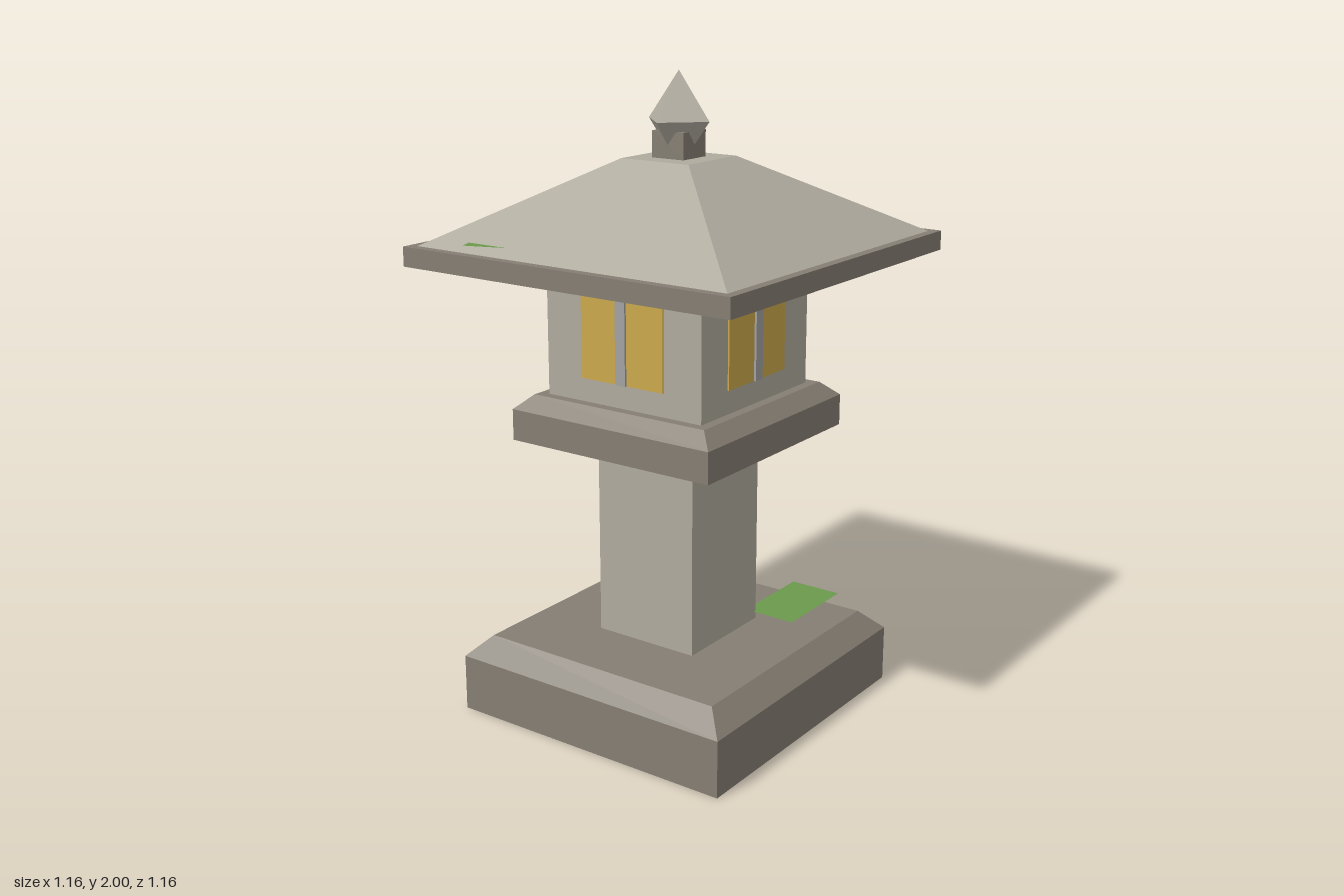
import * as THREE from 'three';

const material = (name, color, side = THREE.FrontSide) => {
  const m = new THREE.MeshStandardMaterial({ color, side });
  m.name = name;
  return m;
};

export function createModel() {
  const lantern = new THREE.Group();
  lantern.name = 'stoneLantern';

  const lightStone = material('light stone', 0xb0ab9e);
  const darkStone = material('dark stone', 0x857e73, THREE.DoubleSide);
  const paper = material('window yellow', 0xcaa84c);
  const barGrey = material('bar grey', 0xa2a2a2);
  const moss = material('moss green', 0x6a9a4c, THREE.DoubleSide);

  const add = (name, geometry, mat, parent = lantern) => {
    const mesh = new THREE.Mesh(geometry, mat);
    mesh.name = name;
    parent.add(mesh);
    return mesh;
  };

  // Square stone block from a profile of [half width, height], bottom to top
  const block = (name, mat, profile) => {
    const points = profile.map(([w, y]) => new THREE.Vector2(w * Math.SQRT2, y));
    const geometry = new THREE.LatheGeometry(points, 4, Math.PI / 4).toNonIndexed();
    geometry.computeVertexNormals();
    return add(name, geometry, mat);
  };

  // Base is hollow underneath
  block('base', darkStone, [[0.485, 0], [0.485, 0.18], [0.42, 0.245], [0, 0.245]]);
  block('pillar', lightStone, [[0.178, 0.245], [0.178, 0.89]]);
  block('platform', darkStone, [[0, 0.89], [0.363, 0.89], [0.363, 0.988], [0.315, 1.032], [0, 1.032]]);
  block('lightChamber', lightStone, [[0.283, 1.032], [0.283, 1.44]]);
  block('eaves', darkStone, [[0, 1.44], [0.58, 1.44], [0.58, 1.5], [0, 1.5]]);
  block('roof', lightStone, [[0.55, 1.5], [0.122, 1.745], [0, 1.745]]);
  block('finialNeck', darkStone, [[0.057, 1.745], [0.057, 1.825], [0, 1.825]]);

  // Pointed finial
  const finial = add('finial', new THREE.OctahedronGeometry(1).scale(0.11, 0.145, 0.11), lightStone);
  finial.position.y = 1.855;

  // One window with a central bar on each side
  for (let i = 0; i < 4; i++) {
    const side = new THREE.Group();
    side.name = 'window' + (i + 1);
    side.rotation.y = i * Math.PI / 2;
    lantern.add(side);
    add('pane', new THREE.BoxGeometry(0.3, 0.26, 0.008), paper, side).position.set(0, 1.235, 0.284);
    add('bar', new THREE.BoxGeometry(0.036, 0.26, 0.016), barGrey, side).position.set(0, 1.235, 0.287);
  }

  // Flat moss patches on the base and the roof edge
  const patch = (name, width, depth, x, y, z, turn) => {
    const mesh = add(name, new THREE.PlaneGeometry(width, depth).rotateX(-Math.PI / 2), moss);
    mesh.position.set(x, y, z);
    mesh.rotation.y = turn;
  };
  patch('baseMoss', 0.29, 0.175, 0.312, 0.27, 0.236, 0);
  patch('roofMoss', 0.2, 0.16, -0.434, 1.523, -0.323, 0.34);

  return lantern;
}
